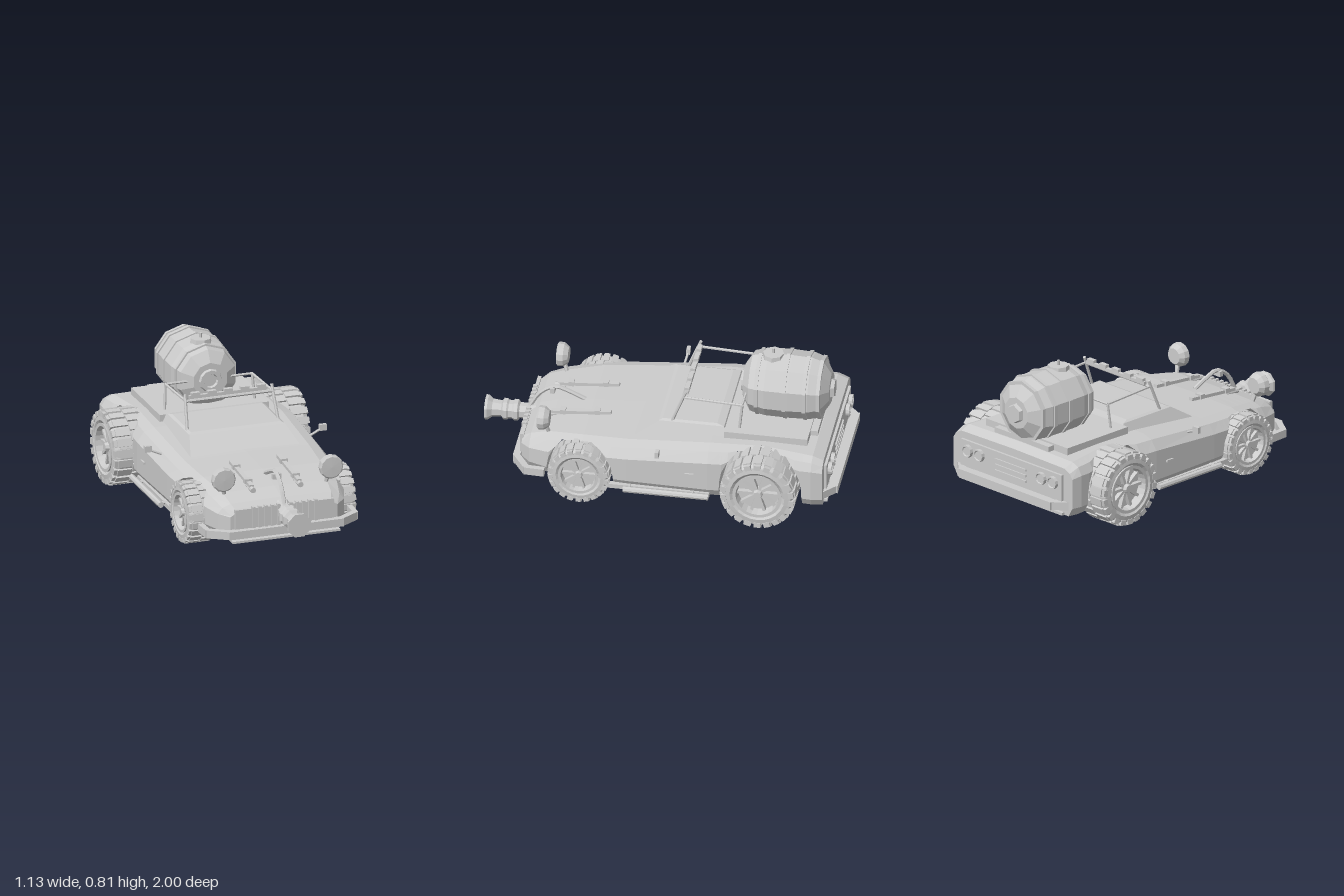
import * as THREE from 'three';

const mat = new THREE.MeshStandardMaterial({ color: 0xcccccc, flatShading: true, side: THREE.DoubleSide });
const V = (x, y, z) => new THREE.Vector3(x, y, z);

function add(parent, name, geo, x = 0, y = 0, z = 0) {
  const m = new THREE.Mesh(geo, mat);
  m.name = name;
  m.position.set(x, y, z);
  parent.add(m);
  return m;
}
const box = (p, name, w, h, d, x, y, z) => add(p, name, new THREE.BoxGeometry(w, h, d), x, y, z);

// Round rod between two points
function rod(p, name, a, b, r, sides = 6) {
  const m = add(p, name, new THREE.CylinderGeometry(r, r, a.distanceTo(b), sides));
  m.position.copy(a).add(b).multiplyScalar(0.5);
  m.quaternion.setFromUnitVectors(V(0, 1, 0), b.clone().sub(a).normalize());
  return m;
}
// Square bar lying along the ground plane between two points
function beam(p, name, a, b, h, d) {
  const m = box(p, name, d, h, a.distanceTo(b) + d * 0.4, 0, 0, 0);
  m.position.copy(a).add(b).multiplyScalar(0.5);
  m.rotation.y = Math.atan2(b.x - a.x, b.z - a.z);
  return m;
}
// Lathe turned so that its axis is z: points are [radius, z]
function turned(p, name, pts, sides, x, y, z, phase = 0) {
  const g = new THREE.LatheGeometry(pts.map(([r, l]) => new THREE.Vector2(r, l)), sides, phase);
  g.rotateX(Math.PI / 2);
  return add(p, name, g, x, y, z);
}
// Skin over a list of rings, clockwise as seen from the first ring's side
function loft(rings) {
  const n = rings[0].length, last = (rings.length - 1) * n, idx = [];
  for (let i = 0; i < rings.length - 1; i++) for (let j = 0; j < n; j++) {
    const a = i * n + j, b = i * n + (j + 1) % n;
    idx.push(a, b, a + n, b, b + n, a + n);
  }
  for (let j = 1; j < n - 1; j++) idx.push(0, j + 1, j, last, last + j, last + j + 1);
  const g = new THREE.BufferGeometry();
  g.setAttribute('position', new THREE.Float32BufferAttribute(rings.flat(2), 3));
  g.setIndex(idx);
  g.computeVertexNormals();
  return g;
}

const ARCHES = [{ z: 0.41, y: 0.175, r: 0.185 }, { z: -0.59, y: 0.21, r: 0.225 }];

// Body: cross-sections whose lower edge lifts over the wheels
function bodyGeometry() {
  // z, half width, half width of top, top height, height of widest line
  const keys = [[0.75, 0.31, 0.27, 0.27, 0.24], [0.7, 0.365, 0.29, 0.305, 0.25], [0.6, 0.4, 0.3, 0.335, 0.26],
    [0.4, 0.445, 0.34, 0.362, 0.29], [0.15, 0.46, 0.36, 0.375, 0.3], [-0.3, 0.47, 0.37, 0.41, 0.33],
    [-0.6, 0.45, 0.36, 0.415, 0.33], [-0.87, 0.47, 0.4, 0.408, 0.34], [-0.93, 0.46, 0.4, 0.385, 0.33]];
  const zs = keys.map(k => k[0]);
  for (const a of ARCHES) {
    for (let i = 0; i <= 10; i++) zs.push(a.z + a.r * 0.999 * Math.cos(i * Math.PI / 10));
    zs.push(a.z + a.r + 0.003, a.z - a.r - 0.003);
  }
  zs.sort((a, b) => b - a);
  return loft(zs.map(z => {
    let k = 0;
    while (k < keys.length - 2 && z < keys[k + 1][0]) k++;
    const t = (z - keys[k][0]) / (keys[k + 1][0] - keys[k][0]);
    const [w, wt, top, yw] = [1, 2, 3, 4].map(c => THREE.MathUtils.lerp(keys[k][c], keys[k + 1][c], t));
    let low = 0.11;
    for (const a of ARCHES) {
      const d = Math.abs(z - a.z);
      if (d < a.r) low = Math.min(top - 0.02, a.y + Math.sqrt(a.r * a.r - d * d));
    }
    const prof = [[0, top], [wt, top - 0.006], [(w + wt) / 2 + 0.01, top - 0.025], [w, yw], [w, 0.16], [w - 0.03, 0.11]];
    const half = prof.map(([x, y], i) => {
      if (y >= low) return [x, y, z];
      let j = i;
      while (prof[j - 1][1] < low) j--;
      const [p, q] = [prof[j - 1], prof[j]], s = (low - p[1]) / (q[1] - p[1]);
      return [p[0] + (q[0] - p[0]) * s, low, z];
    });
    return [...half, ...half.slice(1).reverse().map(([x, y]) => [-x, y, z])];
  }));
}

// Wheel facing +x, centred on its own middle
function wheel(r, width, name) {
  const g = new THREE.Group(), hw = width / 2, rim = r * 0.6, spin = new THREE.Group();
  g.name = name;
  spin.rotation.y = Math.PI / 2;
  g.add(spin);
  turned(spin, 'tyre', [[rim, -hw * 0.8], [r * 0.72, -hw], [r * 0.88, -hw * 0.95], [r * 0.955, -hw * 0.7], [r * 0.955, hw * 0.7],
    [r * 0.88, hw * 0.95], [r * 0.72, hw], [rim, hw * 0.8], [rim, -hw * 0.8]], 24, 0, 0, 0);
  turned(spin, 'rimLip', [[rim, hw * 0.55], [rim * 1.08, hw * 0.98], [rim * 0.94, hw * 0.98], [rim * 0.88, hw * 0.5]], 24, 0, 0, 0);
  turned(spin, 'rimDish', [[0, hw * 0.45], [rim, hw * 0.45]], 24, 0, 0, 0);
  turned(spin, 'innerDish', [[0, -hw * 0.5], [rim, -hw * 0.5]], 24, 0, 0, 0);
  turned(spin, 'hub', [[0, hw * 0.9], [rim * 0.18, hw * 0.9], [rim * 0.28, hw * 0.45]], 8, 0, 0, 0);
  for (let i = 0; i < 10; i++) {
    const a = i * Math.PI / 5;
    const s = box(spin, 'spoke', rim * 0.75, rim * 0.13, hw * 0.25, Math.cos(a) * rim * 0.55, Math.sin(a) * rim * 0.55, hw * 0.58);
    s.rotation.z = a;
  }
  // Two staggered rows of tread blocks, plus shoulder lugs
  for (let i = 0; i < 22; i++) for (const s of [-1, 1]) {
    const a = (i + (s > 0 ? 0.5 : 0)) * Math.PI * 2 / 22;
    const tread = box(spin, 'treadBlock', r * 0.07, r * 0.2, hw * 0.8, Math.cos(a) * r * 0.96, Math.sin(a) * r * 0.96, s * hw * 0.42);
    const lug = box(spin, 'shoulderLug', r * 0.14, r * 0.17, hw * 0.22, Math.cos(a) * r * 0.89, Math.sin(a) * r * 0.89, s * hw * 0.89);
    tread.rotation.z = lug.rotation.z = a;
  }
  return g;
}

export function createModel() {
  const car = new THREE.Group();
  car.name = 'car';
  add(car, 'body', bodyGeometry());

  // Cabin and rear deck
  const rect = (w, y, f, b) => [[-w, y, b], [w, y, b], [w, y, f], [-w, y, f]];
  add(car, 'cabin', loft([rect(0.26, 0.46, -0.02, -0.32), rect(0.275, 0.452, 0, -0.36), rect(0.32, 0.36, 0.145, -0.41)]));
  box(car, 'rearDeck', 0.63, 0.06, 0.46, 0, 0.415, -0.595);
  box(car, 'deckStep', 0.42, 0.05, 0.04, 0, 0.41, -0.845);

  // Barrel with hoops, end hubs and filler cap
  const barrel = new THREE.Group();
  barrel.name = 'barrel';
  barrel.position.set(0, 0.585, -0.67);
  car.add(barrel);
  turned(barrel, 'shell', [[0, 0.24], [0.1, 0.24], [0.165, 0.2], [0.188, 0.11], [0.19, -0.02], [0.185, -0.13], [0.165, -0.19], [0.09, -0.235], [0, -0.235]].reverse(),
    10, 0, 0, 0);
  for (const [z, r] of [[0.155, 0.181], [0, 0.194], [-0.11, 0.191], [-0.185, 0.172]])
    turned(barrel, 'hoop', [[r - 0.02, -0.01], [r + 0.003, -0.01], [r + 0.003, 0.01], [r - 0.02, 0.01]], 10, 0, 0, z);
  turned(barrel, 'frontHub', [[0, 0.24], [0.035, 0.24], [0.04, 0.255], [0.06, 0.255], [0.068, 0.235]].reverse(), 12, 0, 0, 0);
  turned(barrel, 'rearHub', [[0.06, -0.23], [0.05, -0.255], [0, -0.255]].reverse(), 6, 0, 0, 0);
  add(barrel, 'fillerCap', new THREE.CylinderGeometry(0.058, 0.062, 0.03, 8), 0, 0.18, 0.085);
  rod(barrel, 'capPin', V(0, 0.18, 0.085), V(0, 0.222, 0.085), 0.008);

  // Roof rack with lamp row
  rod(car, 'rackFrontBar', V(-0.255, 0.598, -0.13), V(0.255, 0.598, -0.13), 0.009);
  rod(car, 'rackRearBar', V(-0.25, 0.585, -0.455), V(0.25, 0.585, -0.455), 0.007);
  box(car, 'lampBar', 0.45, 0.018, 0.02, 0, 0.614, -0.145);
  for (let i = -2; i <= 2; i++) box(car, 'rackLamp', 0.05, 0.022, 0.025, i * 0.095, 0.628, -0.145);

  // Nose pipe
  turned(car, 'nosePipe', [[0.062, 0.72], [0.045, 0.76], [0.045, 0.81], [0.06, 0.82], [0.06, 0.84], [0.052, 0.85], [0.052, 0.87],
    [0.06, 0.88], [0.06, 0.9], [0.045, 0.91], [0.05, 0.96], [0.07, 0.985], [0.07, 1], [0, 1]], 8, 0, 0.24, 0, Math.PI / 8);
  const arc = new THREE.CatmullRomCurve3([V(0, 0.355, 0.45), V(0, 0.405, 0.56), V(0, 0.42, 0.62), V(0, 0.37, 0.7), V(0, 0.27, 0.76)]);
  add(car, 'hoodHose', new THREE.TubeGeometry(arc, 10, 0.012, 6));
  box(car, 'hoseClamp', 0.05, 0.03, 0.025, 0, 0.4, 0.63);

  // Grille and front bumper
  box(car, 'grillePanel', 0.57, 0.12, 0.02, 0, 0.22, 0.752);
  for (let i = -5; i <= 5; i++) if (i) box(car, 'grilleSlat', 0.017, 0.13, 0.025, i * 0.036, 0.225, 0.758);
  box(car, 'frontBumper', 0.66, 0.045, 0.04, 0, 0.147, 0.775);
  box(car, 'frontSkid', 0.62, 0.012, 0.1, 0, 0.107, 0.745);

  // Rear panel and bumper
  box(car, 'rearPanel', 0.78, 0.15, 0.02, 0, 0.265, -0.935);
  box(car, 'rearBumper', 0.72, 0.045, 0.05, 0, 0.167, -0.975);
  box(car, 'bumperMount', 0.6, 0.03, 0.05, 0, 0.165, -0.94);
  box(car, 'rearSkid', 0.8, 0.015, 0.08, 0, 0.118, -0.91);
  for (let i = 0; i < 3; i++) box(car, 'rearVent', 0.24, 0.012, 0.012, 0, 0.23 + i * 0.033, -0.948);

  // Paired parts
  for (const s of [-1, 1]) {
    for (const [r, w, x, z, name] of [[0.172, 0.155, 0.403, 0.41, 'frontWheel'], [0.21, 0.205, 0.462, -0.59, 'rearWheel']]) {
      const wh = wheel(r, w, name);
      wh.position.set(s * x, r, z);
      if (s < 0) wh.rotation.y = Math.PI;
      car.add(wh);
      rod(car, 'axle', V(0, r, z), V(s * x, r, z), 0.018);
    }
    rod(car, 'rackPost', V(s * 0.262, 0.45, -0.07), V(s * 0.25, 0.635, -0.143), 0.009);
    rod(car, 'rackRail', V(s * 0.25, 0.6, -0.13), V(s * 0.25, 0.585, -0.455), 0.008);
    rod(car, 'rackRearPost', V(s * 0.25, 0.585, -0.455), V(s * 0.26, 0.43, -0.44), 0.008);

    turned(car, 'headlight', [[0, -0.035], [0.045, -0.035], [0.065, -0.01], [0.068, 0.02], [0.06, 0.028], [0, 0.03]], 12, s * 0.31, 0.42, 0.63);
    rod(car, 'headlightStalk', V(s * 0.29, 0.31, 0.6), V(s * 0.31, 0.4, 0.625), 0.012);

    box(car, 'hoodRail', 0.026, 0.018, 0.33, s * 0.137, 0.365, 0.45).rotation.x = 0.09;
    for (const z of [0.36, 0.55]) box(car, 'hoodLatch', 0.042, 0.026, 0.03, s * 0.137, 0.379 - (z - 0.36) * 0.09, z);
    rod(car, 'hoodKnob', V(s * 0.137, 0.34, 0.55), V(s * 0.137, 0.335, 0.64), 0.016, 8);

    beam(car, 'bumperCorner', V(s * 0.32, 0.147, 0.775), V(s * 0.42, 0.147, 0.71), 0.045, 0.035);
    beam(car, 'bumperSide', V(s * 0.425, 0.147, 0.71), V(s * 0.43, 0.147, 0.61), 0.045, 0.03);
    beam(car, 'rearBumperCorner', V(s * 0.35, 0.167, -0.972), V(s * 0.41, 0.167, -0.92), 0.045, 0.04);

    for (const x of [0.24, 0.33])
      turned(car, 'tailLight', [[0, -0.018], [0.024, -0.018], [0.028, -0.024], [0.036, -0.024], [0.036, 0]], 12, s * x, 0.285, -0.942);

    rod(car, 'mirrorStalk', V(s * 0.42, 0.35, -0.02), V(s * 0.5, 0.385, -0.03), 0.007);
    box(car, 'mirror', 0.04, 0.035, 0.02, s * 0.505, 0.39, -0.03);
    box(car, 'doorHandle', 0.015, 0.012, 0.05, s * 0.47, 0.25, -0.2);

    box(car, 'sill', 0.03, 0.025, 0.56, s * 0.452, 0.122, -0.03);
    rod(car, 'runningBar', V(s * 0.497, 0.13, -0.31), V(s * 0.497, 0.13, 0.16), 0.017, 8);
    for (const z of [-0.22, 0.13]) rod(car, 'runningBarBracket', V(s * 0.43, 0.13, z), V(s * 0.497, 0.13, z), 0.009);
  }
  return car;
}
